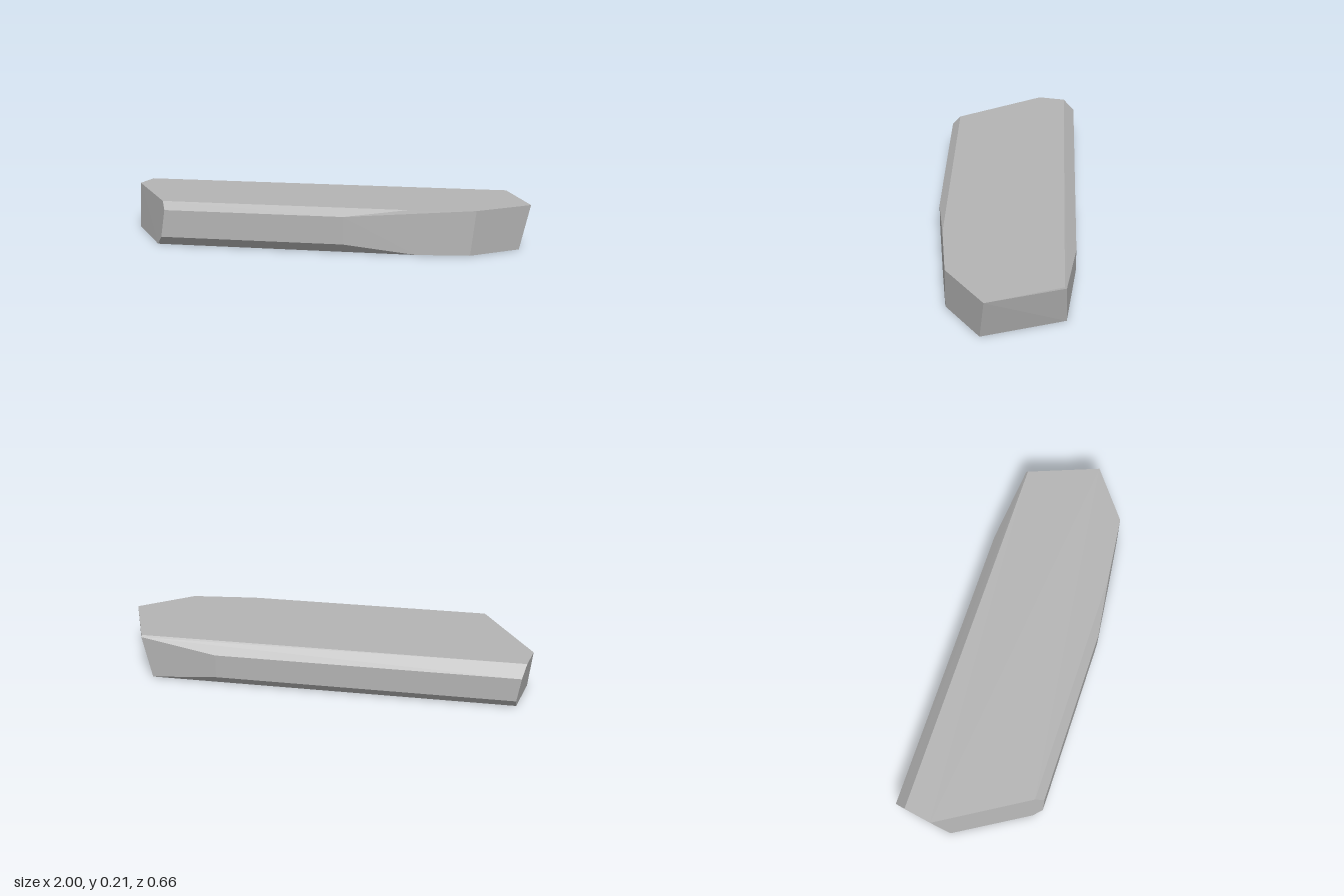
import * as THREE from 'three';
import { ConvexGeometry } from 'three/addons/geometries/ConvexGeometry.js';

const HEIGHT = 0.213;

// Rings of [x, z] corners at each height; the faceted slab is their hull.
const rings = [
  // underside
  { y: 0, pts: [[-0.98, -0.06], [-0.775, 0.287], [0.48, 0.287], [0.73, 0.256], [0.95, 0.09], [0.82, -0.288], [-0.938, -0.287]] },
  // lower edge of the front and back walls
  { y: 0.045, pts: [[-0.745, 0.327], [0.14, 0.327], [0.49, -0.33], [-0.937, -0.33]] },
  // upper edge of the back wall, then of the front wall
  { y: 0.16, pts: [[0.49, -0.33], [-0.956, -0.33]] },
  { y: 0.177, pts: [[-0.726, 0.327], [0.14, 0.327]] },
  // clipped corner at the pointed end
  { y: 0.205, pts: [[0.868, -0.284]] },
  // top face
  { y: HEIGHT, pts: [[-1, -0.14], [-0.745, 0.287], [0.44, 0.287], [0.755, 0.252], [1, 0.068], [0.87, -0.275], [-0.975, -0.275]] },
];

export function createModel() {
  const group = new THREE.Group();
  group.name = 'stoneSlab';

  const stone = new THREE.MeshStandardMaterial({ color: 0xb4b4b4 });
  stone.name = 'stone grey';

  const corners = rings.flatMap(({ y, pts }) => pts.map(([x, z]) => new THREE.Vector3(x, y, z)));
  const slab = new THREE.Mesh(new ConvexGeometry(corners), stone);
  slab.name = 'slab';
  group.add(slab);
  return group;
}
